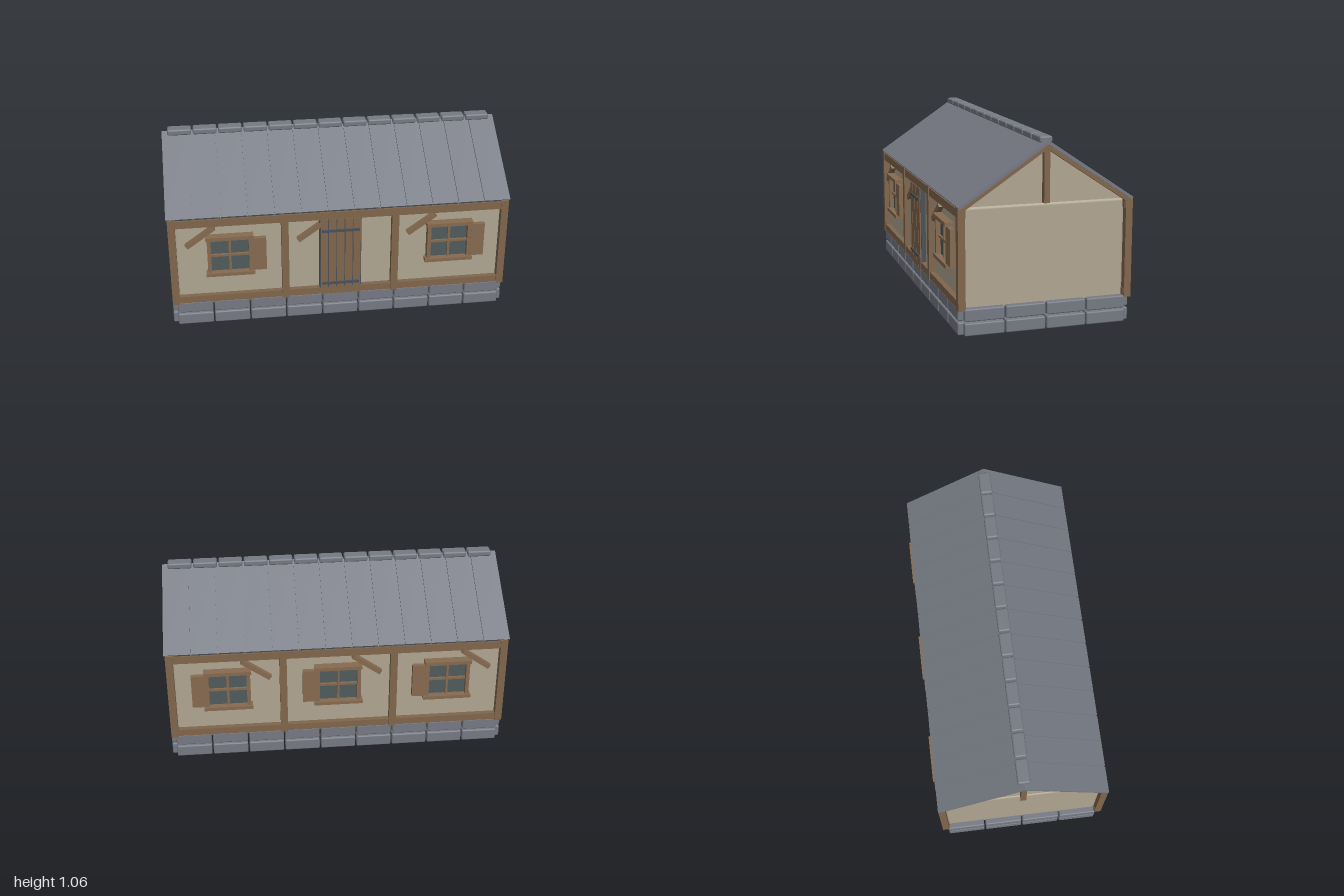
import * as THREE from 'three';
import { RoundedBoxGeometry } from 'three/addons/geometries/RoundedBoxGeometry.js';

const mat = (name, color) => {
  const m = new THREE.MeshStandardMaterial({ color });
  m.name = name;
  return m;
};

export function createModel() {
  const stone = mat('stone', 0x757982);
  const slate = mat('roof slate', 0x757982);
  const plaster = mat('plaster', 0xafa591);
  const timber = mat('timber', 0x80664c);
  const trim = mat('trim wood', 0x866a50);
  const glass = mat('window glass', 0x4f5b5b);
  const iron = mat('dark iron', 0x4a5058);

  const house = new THREE.Group();
  house.name = 'house';

  const add = (parent, name, geo, material) => {
    const m = new THREE.Mesh(geo, material);
    m.name = name;
    parent.add(m);
    return m;
  };
  // Box given by its limits on each axis
  const box = (parent, name, material, x0, x1, y0, y1, z0, z1, radius = 0) => {
    const s = [x1 - x0, y1 - y0, z1 - z0];
    const geo = radius ? new RoundedBoxGeometry(...s, 2, radius) : new THREE.BoxGeometry(...s);
    const m = add(parent, name, geo, material);
    m.position.set((x0 + x1) / 2, (y0 + y1) / 2, (z0 + z1) / 2);
    return m;
  };
  // Symmetric z-y profile, extruded from x0 to x1
  const prism = (parent, name, material, pts, x0, x1) => {
    const shape = new THREE.Shape(pts.map(([z, y]) => new THREE.Vector2(z, y)));
    const geo = new THREE.ExtrudeGeometry(shape, { depth: x1 - x0, bevelEnabled: false });
    geo.rotateY(Math.PI / 2);
    geo.translate(x0, 0, 0);
    return add(parent, name, geo, material);
  };

  // Foundation: two courses of stone blocks
  const base = new THREE.Group();
  base.name = 'foundation';
  house.add(base);
  for (const [y0, y1] of [[0, 0.071], [0.08, 0.15]]) {
    for (const s of [-1, 1]) {
      const long = 1.94 / 9, short = 0.928 / 4, gap = 0.004;
      for (let i = 0; i < 9; i++) {
        const x = -0.97 + i * long;
        box(base, 'longStone', stone, x + gap, x + long - gap, y0, y1, s * 0.457 - 0.034, s * 0.457 + 0.034, 0.008);
      }
      for (let i = 0; i < 4; i++) {
        const z = -0.464 + i * short;
        box(base, 'endStone', stone, s * 0.961 - 0.034, s * 0.961 + 0.034, y0, y1, z + gap, z + short - gap, 0.008);
      }
    }
  }

  // Plastered walls and gables
  box(house, 'walls', plaster, -0.96, 0.96, 0.11, 0.698, -0.46, 0.46, 0.018);
  prism(house, 'gableWalls', plaster, [[-0.455, 0.69], [0.455, 0.69], [0, 0.998]], -0.952, 0.952);

  // Timber frame along the front and back
  const frame = new THREE.Group();
  frame.name = 'timberFrame';
  house.add(frame);
  for (const s of [-1, 1]) {
    const zs = s > 0 ? [0.45, 0.49] : [-0.49, -0.45];
    const zp = s > 0 ? [0.455, 0.495] : [-0.495, -0.455];
    box(frame, 'bottomBeam', timber, -0.985, 0.985, 0.143, 0.188, ...zs);
    box(frame, 'topBeam', timber, -0.985, 0.985, 0.643, 0.69, ...zs);
    for (const x of [-0.972, -0.325, 0.322, 0.972])
      box(frame, 'post', timber, x - 0.021, x + 0.021, 0.14, 0.698, ...zp);
    for (const x of [-0.645, 0, 0.645]) {
      const brace = box(frame, 'brace', trim, -0.1, 0.1, -0.014, 0.014, -0.016, 0.016);
      brace.position.set(x - 0.167, 0.575, s * 0.474);
      brace.rotation.z = 0.62;
    }
  }
  // Rafters and king posts on each gable
  const rafter = [[-0.495, 0.687], [-0.495, 0.7], [0, 1.02], [0.495, 0.7], [0.495, 0.687], [0.453, 0.688], [0, 0.99], [-0.453, 0.688]];
  for (const [x0, x1] of [[-0.99, -0.945], [0.945, 0.99]]) {
    prism(frame, 'rafters', timber, rafter, x0, x1);
    box(frame, 'kingPost', timber, x0 + 0.004, x1 - 0.004, 0.698, 0.995, -0.016, 0.016);
  }

  // Windows with a single shutter
  const addWindow = (x, side) => {
    const w = new THREE.Group();
    w.name = 'window';
    box(w, 'pane', glass, -0.115, 0.115, 0.34, 0.56, 0.46, 0.472);
    for (const s of [-1, 1]) box(w, 'jamb', trim, s * 0.12 - 0.011, s * 0.12 + 0.011, 0.34, 0.56, 0.455, 0.5);
    box(w, 'mullion', trim, -0.007, 0.007, 0.34, 0.56, 0.46, 0.485);
    box(w, 'transom', trim, -0.11, 0.11, 0.443, 0.457, 0.46, 0.485);
    box(w, 'lintel', trim, -0.138, 0.138, 0.558, 0.58, 0.455, 0.511);
    box(w, 'sill', trim, -0.142, 0.142, 0.325, 0.346, 0.455, 0.511);
    const shutter = box(w, 'shutter', trim, 0.13, 0.21, 0.349, 0.558, 0.475, 0.502);
    if (side < 0) {
      // Turn to face the back while keeping the shutter on the same x side
      w.rotation.y = Math.PI;
      shutter.position.x *= -1;
    }
    w.position.x = x;
    house.add(w);
  };
  for (const x of [-0.645, 0.645]) addWindow(x, 1);
  for (const x of [-0.645, 0, 0.645]) addWindow(x, -1);

  // Plank door with iron straps
  const door = new THREE.Group();
  door.name = 'door';
  house.add(door);
  box(door, 'doorBacking', iron, -0.125, 0.122, 0.15, 0.645, 0.45, 0.488);
  for (let i = 0; i < 5; i++) {
    const x = -0.12 + i * 0.048;
    box(door, 'plank', timber, x + 0.002, x + 0.045, 0.146, 0.644, 0.48, 0.495);
  }
  for (const y of [0.222, 0.572])
    box(door, 'strap', iron, -0.11, 0.11, y - 0.008, y + 0.008, 0.49, 0.503);

  // Roof: seamed panels over a thin underlay, with ridge caps
  const roof = new THREE.Group();
  roof.name = 'roof';
  house.add(roof);
  const chevron = (top, halfWidth) => [
    [-halfWidth, top - halfWidth * 0.673], [0, top], [halfWidth, top - halfWidth * 0.673],
    [halfWidth - 0.01, 0.693], [0, 1.017], [-halfWidth + 0.01, 0.693],
  ];
  prism(roof, 'underlay', slate, chevron(1.029, 0.49), -0.99, 0.99);
  const pitch = 1.994 / 13;
  for (let i = 0; i < 13; i++) {
    const x = -0.997 + i * pitch;
    const x0 = i ? x + 0.003 : -1, x1 = i < 12 ? x + pitch - 0.003 : 1;
    prism(roof, 'roofPanel', slate, chevron(1.04, 0.496), x0, x1);
    const c = (i - 6) * 0.1495;
    box(roof, 'ridgeCap', stone, c - 0.07, c + 0.07, 1.02, 1.056, -0.036, 0.036, 0.01);
  }
  return house;
}
